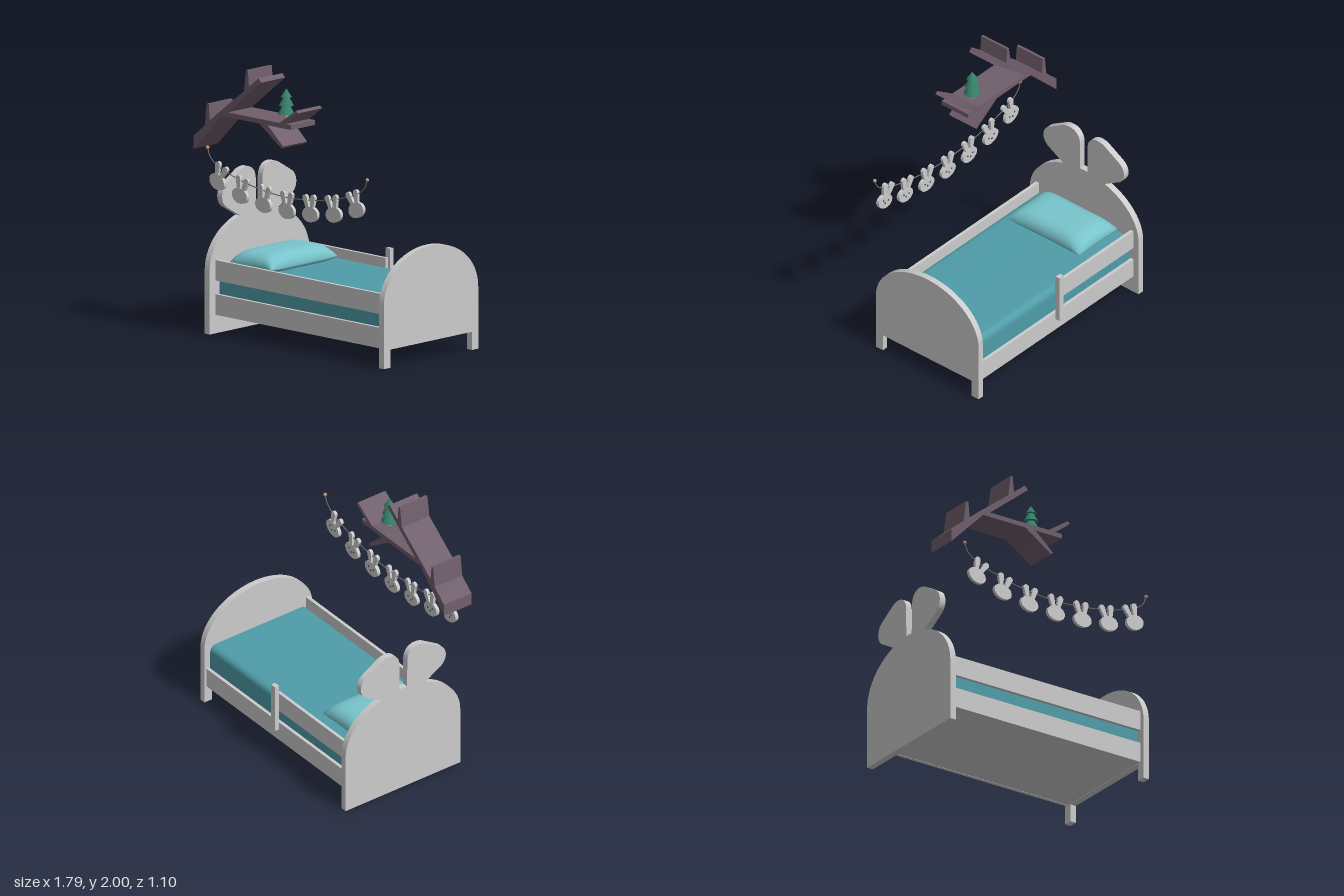
import * as THREE from 'three';
import { toCreasedNormals } from 'three/addons/utils/BufferGeometryUtils.js';

const mat = (color) => new THREE.MeshStandardMaterial({ color });
const GREY = mat(0xcccccc), TEAL = mat(0x4f9ca8), PILLOW = mat(0x78c4cc), BARK = mat(0x705f6c),
  LEAF = mat(0x35806a), WOOD = mat(0xc8946a), ROPE = mat(0x77757a), DARK = mat(0x4a4a4a);

function add(parent, name, geometry, material = GREY, x = 0, y = 0, z = 0) {
  const mesh = new THREE.Mesh(geometry, material);
  mesh.name = name;
  mesh.position.set(x, y, z);
  parent.add(mesh);
  return mesh;
}

// Box given by its limits on each axis
function box(parent, name, [x0, x1], [y0, y1], [z0, z1]) {
  const geometry = new THREE.BoxGeometry(x1 - x0, y1 - y0, z1 - z0);
  add(parent, name, geometry, GREY, (x0 + x1) / 2, (y0 + y1) / 2, (z0 + z1) / 2);
}

function extrude(shape, depth, curveSegments = 16) {
  const geometry = new THREE.ExtrudeGeometry(shape, { depth, bevelEnabled: false, curveSegments });
  return toCreasedNormals(geometry, 0.6);
}

// Extrude a (z, y) profile along x, from x0 to x1
function extrudeX(shape, x0, x1) {
  return extrude(shape, x1 - x0).rotateY(-Math.PI / 2).translate(x1, 0, 0);
}

// Arched end board, optionally cut out between two legs
function boardShape(halfWidth, spring, top, cutHalf = 0, cutTop = 0) {
  const s = new THREE.Shape();
  s.moveTo(halfWidth, 0);
  s.lineTo(halfWidth, spring);
  s.absellipse(0, spring, halfWidth, top - spring, 0, Math.PI, false, 0);
  s.lineTo(-halfWidth, 0);
  if (cutHalf) {
    s.lineTo(-cutHalf, 0);
    s.lineTo(-cutHalf, cutTop);
    s.lineTo(cutHalf, cutTop);
    s.lineTo(cutHalf, 0);
  }
  return s;
}

// Ear on the headboard; side is 1 or -1
function earShape(side) {
  const s = new THREE.Shape();
  const p = (...v) => v.map((n, i) => (i % 2 ? n : n * side));
  s.moveTo(...p(0.033, 0.78));
  s.lineTo(...p(0.035, 1.06));
  s.bezierCurveTo(...p(0.035, 1.13, 0.08, 1.165, 0.13, 1.165));
  s.bezierCurveTo(...p(0.16, 1.165, 0.18, 1.16, 0.205, 1.145));
  s.lineTo(...p(0.33, 1.07));
  s.bezierCurveTo(...p(0.395, 1.03, 0.395, 0.94, 0.335, 0.9));
  s.lineTo(...p(0.19, 0.815));
  s.lineTo(...p(0.15, 0.76));
  return s;
}

// Soft pillow: a sphere spread to a square outline with pinched sides
function pillowGeometry(halfX, halfZ, up, down) {
  const geometry = new THREE.SphereGeometry(1, 48, 32);
  const pos = geometry.attributes.position;
  for (let i = 0; i < pos.count; i++) {
    const x = pos.getX(i), y = pos.getY(i), z = pos.getZ(i);
    const m = Math.max(Math.abs(x), Math.abs(z));
    const k = m > 1e-6 ? Math.hypot(x, z) / m : 0;
    const u = THREE.MathUtils.clamp(x * k, -1, 1), v = THREE.MathUtils.clamp(z * k, -1, 1);
    const pinchX = 1 - 0.05 * (1 - v * v), pinchZ = 1 - 0.03 * (1 - u * u);
    const height = Math.sqrt((1 - u ** 4) * (1 - v ** 6)) * (y > 0 ? up : -down);
    pos.setXYZ(i, u * halfX * pinchX, height, v * halfZ * pinchZ);
  }
  geometry.computeVertexNormals();
  return geometry;
}

function createBed() {
  const bed = new THREE.Group();
  bed.name = 'bed';

  // End boards
  add(bed, 'headboard', extrudeX(boardShape(0.512, 0.46, 0.848), -0.857, -0.808), GREY, 0, 0, -0.037);
  for (const side of [1, -1]) {
    add(bed, 'headboardEar', extrudeX(earShape(side), -0.857, -0.808), GREY, 0, 0, -0.033);
  }
  add(bed, 'footboard', extrudeX(boardShape(0.483, 0.455, 0.825, 0.417, 0.132), 0.843, 0.89), GREY, 0, 0, -0.033);

  // Side rails, back guard post and base
  const long = [-0.81, 0.845], low = [0.135, 0.285], high = [0.385, 0.533];
  const front = [0.39, 0.415], back = [-0.5, -0.475];
  box(bed, 'frontLowerRail', long, low, front);
  box(bed, 'frontUpperRail', long, high, front);
  box(bed, 'backLowerRail', long, low, back);
  box(bed, 'backUpperRail', [-0.81, 0.012], high, back);
  box(bed, 'guardPost', [-0.01, 0.035], [0.225, 0.6], [-0.535, -0.5]);
  box(bed, 'bedBase', long, [0.137, 0.17], [-0.476, 0.391]);

  // Mattress with its long upper edges rounded
  const m = new THREE.Shape(), z0 = -0.475, z1 = 0.389, top = 0.475, r = 0.06;
  m.moveTo(z0, 0.17);
  m.lineTo(z1, 0.17);
  m.lineTo(z1, top - r);
  m.quadraticCurveTo(z1, top, z1 - r, top);
  m.lineTo(z0 + r, top);
  m.quadraticCurveTo(z0, top, z0, top - r);
  add(bed, 'mattress', extrudeX(m, -0.795, 0.83), TEAL);

  add(bed, 'pillow', pillowGeometry(0.207, 0.335, 0.1, 0.045), PILLOW, -0.573, 0.505, -0.041);
  return bed;
}

function createShelf() {
  const shelf = new THREE.Group();
  shelf.name = 'branchShelf';

  // Branch outline, extruded to shelf depth
  const outline = [
    [-0.897, 1.35], [-0.62, 1.63], [-0.25, 1.63], [-0.029, 1.481], [-0.013, 1.497], [-0.165, 1.63],
    [0.066, 1.63], [0.066, 1.665], [0.008, 1.665], [0.135, 1.762], [0.114, 1.778], [-0.05, 1.665],
    [-0.56, 1.665], [-0.23, 1.93], [-0.257, 1.958], [-0.352, 1.882], [-0.362, 2], [-0.38, 2],
    [-0.402, 1.842], [-0.643, 1.657], [-0.738, 1.58], [-0.749, 1.697], [-0.77, 1.697], [-0.788, 1.538],
    [-0.897, 1.445],
  ];
  const shape = new THREE.Shape(outline.map(([x, y]) => new THREE.Vector2(x, y)));
  add(shelf, 'branch', extrude(shape, 0.245), BARK, 0, 0, 0.3);

  // Small tree
  const tree = new THREE.Group();
  tree.name = 'tree';
  tree.position.set(-0.111, 1.665, 0.412);
  add(tree, 'trunk', new THREE.CylinderGeometry(0.016, 0.019, 0.05, 12), WOOD, 0, 0.025, 0);
  for (const [radius, tip, y, h] of [[0.061, 0.02, 0.036, 0.075], [0.053, 0.016, 0.098, 0.07], [0.04, 0, 0.16, 0.062]]) {
    add(tree, 'treeTier', new THREE.CylinderGeometry(tip, radius, h, 16), LEAF, 0, y + h / 2, 0);
  }
  shelf.add(tree);
  return shelf;
}

// Flat rabbit head with two ears and a face on its back
function createBunny() {
  const bunny = new THREE.Group();
  bunny.name = 'bunny';
  const depth = 0.026;
  const head = new THREE.CylinderGeometry(1, 1, depth, 32).rotateX(Math.PI / 2).scale(0.075, 0.056, 1);
  add(bunny, 'bunnyHead', head);

  const ear = new THREE.Shape();
  ear.moveTo(-0.014, 0);
  ear.lineTo(0.014, 0);
  ear.lineTo(0.022, 0.08);
  ear.bezierCurveTo(0.022, 0.11, -0.022, 0.11, -0.022, 0.08);
  const earGeometry = extrude(ear, depth * 0.9, 8);
  for (const side of [1, -1]) {
    const mesh = add(bunny, 'bunnyEar', earGeometry, GREY, side * 0.02, 0.042, -depth * 0.45);
    mesh.rotation.z = -side * 0.24;
  }

  const dot = new THREE.CylinderGeometry(0.007, 0.007, 0.004, 10).rotateX(Math.PI / 2);
  for (const [x, y] of [[-0.028, 0.008], [0.028, 0.008], [0, -0.012]]) {
    add(bunny, 'faceDot', dot, DARK, x, y, -depth / 2 - 0.001);
  }
  return bunny;
}

function createGarland() {
  const garland = new THREE.Group();
  garland.name = 'garland';
  garland.position.set(0.017, 0, 0.533);

  // Hanging rope with an end knob on each side
  const half = [[0.789, 1.376], [0.765, 1.315], [0.69, 1.258], [0.47, 1.188], [0.235, 1.146]];
  const points = [...half.map(([x, y]) => [-x, y]), [0, 1.131], ...half.slice().reverse()];
  const curve = new THREE.CatmullRomCurve3(points.map(([x, y]) => new THREE.Vector3(x, y, 0)));
  add(garland, 'rope', new THREE.TubeGeometry(curve, 80, 0.004, 6), ROPE);
  for (const side of [1, -1]) {
    add(garland, 'ropeKnob', new THREE.SphereGeometry(0.0135, 16, 12), WOOD, side * 0.789, 1.376, 0);
  }

  // Seven rabbits, tilted to follow the rope
  const places = [[0, 1.032, 0], [0.232, 1.043, 0.1], [0.463, 1.075, 0.2], [0.687, 1.143, 0.37]];
  for (const [x, y, tilt] of places) {
    for (const side of x ? [1, -1] : [1]) {
      const bunny = createBunny();
      bunny.position.set(side * x, y, 0);
      bunny.rotation.z = side * tilt;
      garland.add(bunny);
    }
  }
  return garland;
}

export function createModel() {
  const model = new THREE.Group();
  model.name = 'childBed';
  model.add(createBed(), createShelf(), createGarland());
  return model;
}
